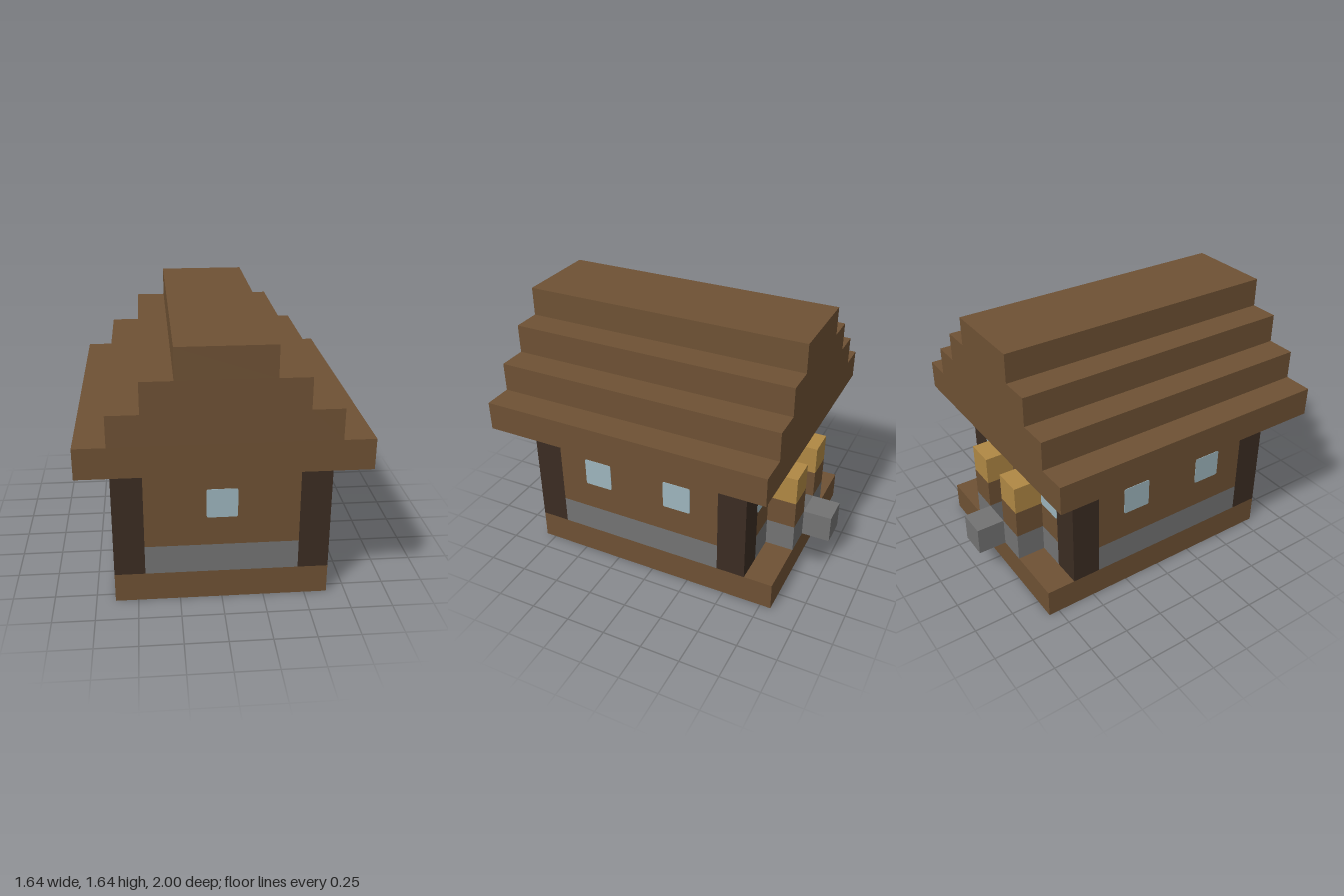
import * as THREE from 'three';

const U = 2 / 11; // one building block

const mat = (name, color) => Object.assign(new THREE.MeshStandardMaterial({ color }), { name });

export function createModel() {
  const planks = mat('brown planks', 0x6e5134);
  const logs = mat('dark logs', 0x3b2c22);
  const stone = mat('grey stone', 0x737373);
  const gold = mat('golden wood', 0xb08844);
  const glass = mat('pale blue glass', 0x9db5bd);

  const house = new THREE.Group();
  house.name = 'house';

  // Box between block coordinates [x0, x1], [y0, y1], [z0, z1]
  function block(parent, name, material, [x0, x1], [y0, y1], [z0, z1]) {
    const mesh = new THREE.Mesh(new THREE.BoxGeometry((x1 - x0) * U, (y1 - y0) * U, (z1 - z0) * U), material);
    mesh.position.set((x0 + x1) / 2 * U, (y0 + y1) / 2 * U, (z0 + z1) / 2 * U);
    mesh.name = name;
    parent.add(mesh);
  }

  // Floor slab and back door step
  block(house, 'floor', planks, [-3.5, 3.5], [0, 1], [-4.5, 4.5]);
  block(house, 'doorStep', stone, [-0.5, 0.5], [1, 2], [-5.5, -4.5]);

  // Corner posts
  for (const x of [-3.5, 2.5])
    for (const z of [-3.5, 3.5]) block(house, 'cornerPost', logs, [x, x + 1], [1, 5], [z, z + 1]);

  // Walls: stone footing below planks, between the posts
  const walls = [
    ['front', [-2.5, 2.5], [3.5, 4.5]],
    ['back', [-2.5, 2.5], [-3.5, -2.5]],
    ['left', [2.5, 3.5], [-2.5, 3.5]],
    ['right', [-3.5, -2.5], [-2.5, 3.5]],
  ];
  for (const [side, xs, zs] of walls) {
    block(house, side + 'Footing', stone, xs, [1, 2], zs);
    block(house, side + 'Wall', planks, xs, [2, 5], zs);
  }

  // Windows: thin panes with slightly rounded corners
  const pane = new THREE.Shape();
  const h = U / 2, r = 0.012;
  pane.absarc(h - r, h - r, r, 0, Math.PI / 2);
  pane.absarc(-h + r, h - r, r, Math.PI / 2, Math.PI);
  pane.absarc(-h + r, -h + r, r, Math.PI, Math.PI * 1.5);
  pane.absarc(h - r, -h + r, r, Math.PI * 1.5, Math.PI * 2);
  const paneGeometry = new THREE.ExtrudeGeometry(pane, { depth: 0.003, bevelEnabled: false, curveSegments: 3 });
  const windows = [
    [0, 4.5, 0],
    [-2, -3.5, Math.PI], [2, -3.5, Math.PI],
    [3.5, 2, Math.PI / 2], [3.5, -1, Math.PI / 2],
    [-3.5, 2, -Math.PI / 2], [-3.5, -1, -Math.PI / 2],
  ];
  for (const [x, z, turn] of windows) {
    const mesh = new THREE.Mesh(paneGeometry, glass);
    mesh.position.set(x * U, 3.5 * U, z * U);
    mesh.rotation.y = turn;
    mesh.name = 'window';
    house.add(mesh);
  }

  // Pillars either side of the back entrance
  for (const x of [-1.5, 0.5]) {
    const pillar = new THREE.Group();
    pillar.name = 'porchPillar';
    block(pillar, 'pillarBase', stone, [x, x + 1], [1, 2], [-4.5, -3.5]);
    block(pillar, 'pillarMiddle', planks, [x, x + 1], [2, 3], [-4.5, -3.5]);
    block(pillar, 'pillarTop', gold, [x, x + 1], [3, 4], [-4.5, -3.5]);
    house.add(pillar);
  }

  // Stepped roof: mirrored stair profile extruded front to back
  const stairs = [];
  for (let i = 0; i < 4; i++) stairs.push([4.5 - i, 5 + i], [4.5 - i, 6 + i]);
  const outline = [...stairs, ...stairs.map(([x, y]) => [-x, y]).reverse()];
  const profile = new THREE.Shape(outline.map(([x, y]) => new THREE.Vector2(x * U, y * U)));
  const roof = new THREE.Mesh(new THREE.ExtrudeGeometry(profile, { depth: 10 * U, bevelEnabled: false }), planks);
  roof.position.z = -4.5 * U;
  roof.name = 'roof';
  house.add(roof);

  return house;
}
